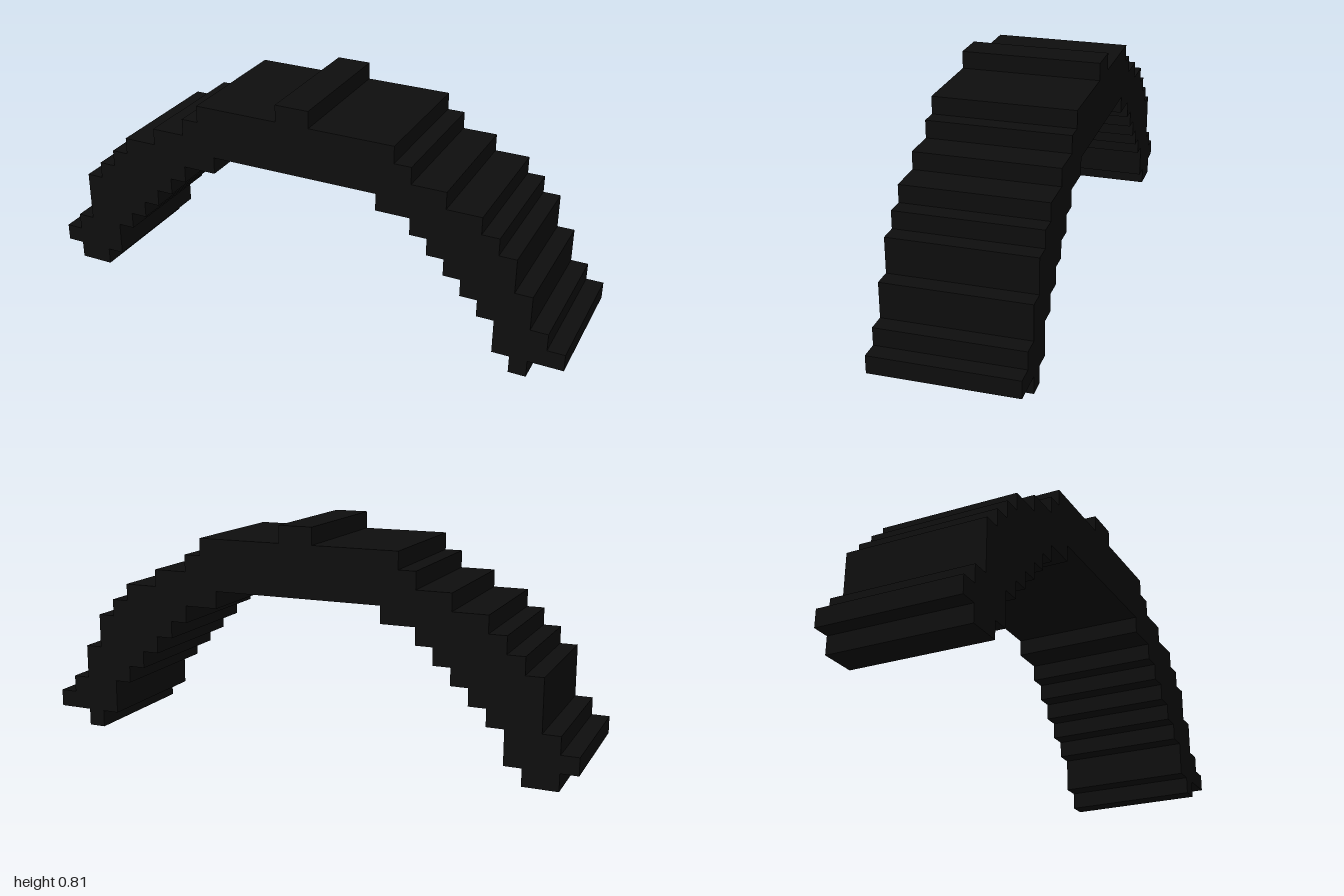
import * as THREE from 'three';

const UNIT = 1 / 16;
const DEPTH = 0.5;

// Column edges of each step, listed from the ground row upwards
const OUTER_LEFT = [1, 0, 1, 2, 2, 2, 3, 4, 5, 7, 9, 10, 15];
const OUTER_RIGHT = [30, 32, 31, 30, 30, 29, 29, 28, 27, 25, 23, 22, 17];
const INNER_LEFT = [3, 4, 4, 5, 6, 7, 8, 9, 11];
const INNER_RIGHT = [29, 28, 28, 27, 26, 25, 24, 23, 21];

// Staircase line along one side of the arch, bottom to top
function steps(columns) {
  const points = [];
  columns.forEach((column, row) => {
    const x = column * UNIT - 1;
    if (columns[row - 1] !== column) points.push(new THREE.Vector2(x, row * UNIT));
    if (columns[row + 1] !== column) points.push(new THREE.Vector2(x, (row + 1) * UNIT));
  });
  return points;
}

export function createModel() {
  const group = new THREE.Group();
  group.name = 'steppedArchBridge';

  const black = new THREE.MeshStandardMaterial({ color: 0x0e0e0e });
  black.name = 'black';

  // Outline: up the left outside, down the right outside, back under the arch
  const outline = new THREE.Shape([
    ...steps(OUTER_LEFT),
    ...steps(OUTER_RIGHT).reverse(),
    ...steps(INNER_RIGHT),
    ...steps(INNER_LEFT).reverse(),
  ]);

  const geometry = new THREE.ExtrudeGeometry(outline, { depth: DEPTH, bevelEnabled: false });
  geometry.translate(0, 0, -DEPTH / 2);

  const arch = new THREE.Mesh(geometry, black);
  arch.name = 'steppedArch';
  group.add(arch);

  return group;
}
